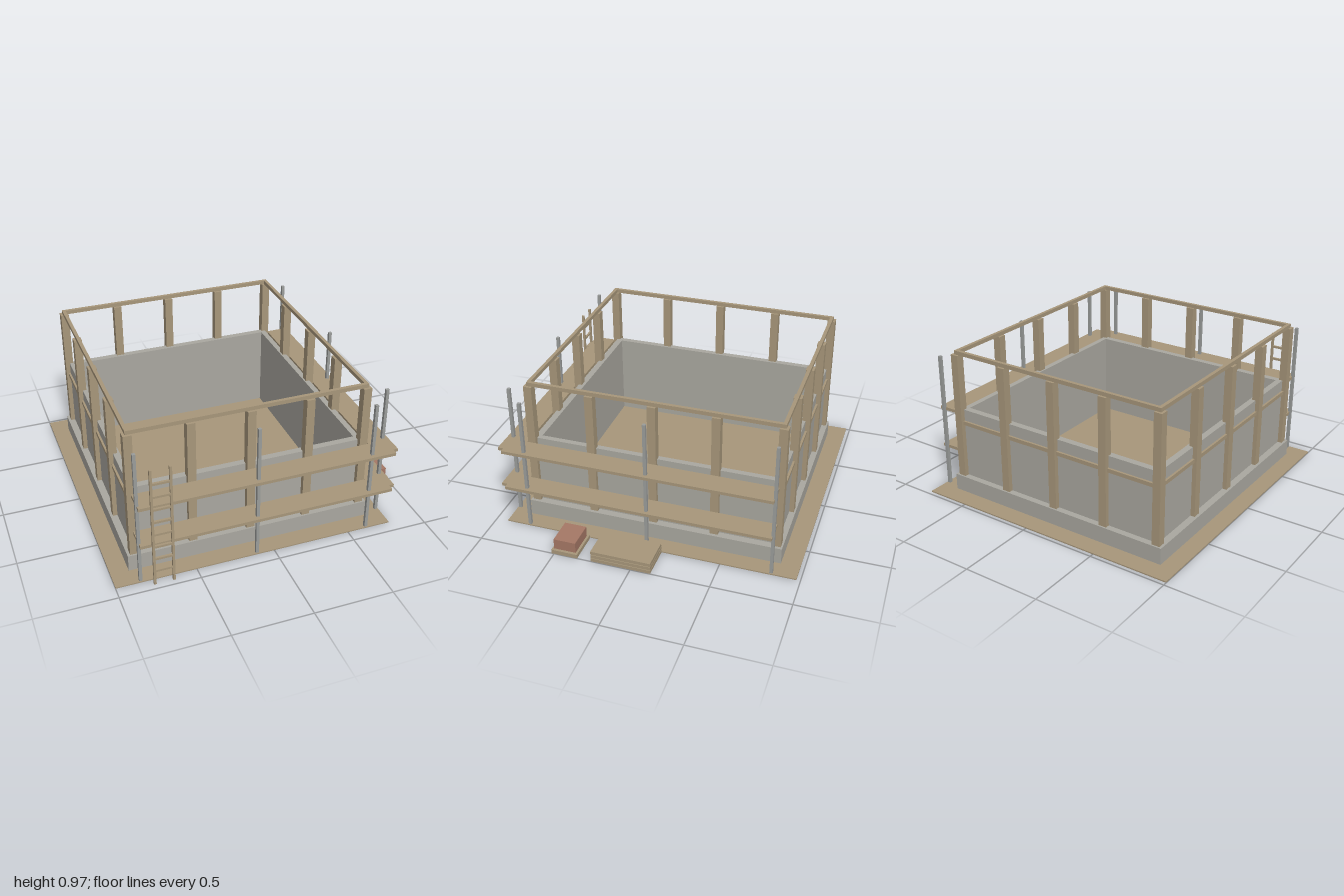
import * as THREE from 'three';

const mat = (name, color) => {
  const m = new THREE.MeshStandardMaterial({ color });
  m.name = name;
  return m;
};

export function createModel() {
  const root = new THREE.Group();
  root.name = 'buildingSite';
  const wood = mat('wood', 0xa8977b);
  const concrete = mat('concrete', 0xaaa8a0);
  const steel = mat('steel', 0x9b9d9b);
  const brick = mat('brick', 0xa67866);

  const group = (name) => {
    const g = new THREE.Group();
    g.name = name;
    root.add(g);
    return g;
  };
  // Box given by its lower and upper limits on each axis
  const box = (parent, name, m, x0, x1, y0, y1, z0, z1) => {
    const mesh = new THREE.Mesh(new THREE.BoxGeometry(x1 - x0, y1 - y0, z1 - z0), m);
    mesh.position.set((x0 + x1) / 2, (y0 + y1) / 2, (z0 + z1) / 2);
    mesh.name = name;
    parent.add(mesh);
  };
  // Upright post centred on x, z
  const post = (parent, name, m, x, z, w, y0, y1) =>
    box(parent, name, m, x - w / 2, x + w / 2, y0, y1, z - w / 2, z + w / 2);
  // Rectangular ring extruded upward
  const ring = (name, m, o, i, y0, y1) => {
    const rect = (P, [x0, x1, z0, z1]) => {
      const p = new P();
      p.moveTo(x0, -z0).lineTo(x0, -z1).lineTo(x1, -z1).lineTo(x1, -z0).closePath();
      return p;
    };
    const s = rect(THREE.Shape, o);
    s.holes.push(rect(THREE.Path, i));
    const geo = new THREE.ExtrudeGeometry(s, { depth: y1 - y0, bevelEnabled: false });
    geo.rotateX(-Math.PI / 2);
    const mesh = new THREE.Mesh(geo, m);
    mesh.position.y = y0;
    mesh.name = name;
    root.add(mesh);
  };

  // Ground sheet, foundation and walls
  box(root, 'groundSheet', wood, -1, 0.785, 0, 0.008, -0.975, 0.92);
  const inner = [-0.803, 0.59, -0.773, 0.72];
  ring('foundation', concrete, [-0.888, 0.672, -0.855, 0.803], inner, 0.004, 0.115);
  ring('walls', concrete, [-0.843, 0.626, -0.815, 0.762], inner, 0.115, 0.575);

  // Timber frame: posts around the edge, middle and top rails
  const xs = [-0.845, -0.477, -0.11, 0.258, 0.626];
  const zs = [-0.818, -0.422, -0.026, 0.37, 0.766];
  const frame = group('timberFrame');
  xs.forEach((x, i) => zs.forEach((z, j) => {
    if (i % 4 === 0 || j % 4 === 0) post(frame, 'framePost', wood, x, z, 0.052, 0.115, 0.945);
  }));
  const t = 0.011;
  const railRing = (name, y0, y1) => ring(name, wood,
    [xs[0] - t, xs[4] + t, zs[0] - t, zs[4] + t],
    [xs[0] + t, xs[4] - t, zs[0] + t, zs[4] - t], y0, y1);
  railRing('middleRail', 0.475, 0.5);
  railRing('topRail', 0.945, 0.97);

  // Scaffold: two levels of walkway on the front and left sides
  const scaffold = group('scaffold');
  for (const y of [0.265, 0.532]) {
    box(scaffold, 'frontWalkway', wood, -0.845, 0.77, y, y + 0.02, 0.795, 0.942);
    box(scaffold, 'sideWalkway', wood, 0.655, 0.802, y, y + 0.02, -0.815, 0.905);
  }
  for (const x of [xs[0], xs[2], xs[4]]) post(scaffold, 'scaffoldPole', steel, x, 0.905, 0.02, 0, 0.9);
  for (const z of [zs[0], zs[2], zs[4]]) post(scaffold, 'scaffoldPole', steel, 0.77, z, 0.02, 0, 0.9);

  // Ladder against the front walkway
  const ladder = group('ladder');
  for (const x of [-0.771, -0.654]) post(ladder, 'ladderRail', wood, x, 0.956, 0.015, 0, 0.81);
  for (let i = 0; i < 8; i++) {
    const y = 0.098 + i * 0.0878;
    box(ladder, 'ladderRung', wood, -0.771, -0.654, y - 0.007, y + 0.007, 0.949, 0.963);
  }

  // Stacked boards
  const boards = group('boardStack');
  for (let i = 0; i < 3; i++) {
    const y = 0.002 + i * 0.026;
    box(boards, 'board', wood, 0.79, 1, y, y + 0.022, -0.128, 0.256);
  }

  // Bricks on a pallet
  const bricks = group('brickPallet');
  box(bricks, 'pallet', wood, 0.79, 1, 0, 0.027, 0.347, 0.517);
  box(bricks, 'bricks', brick, 0.805, 0.982, 0.027, 0.097, 0.362, 0.505);

  return root;
}
